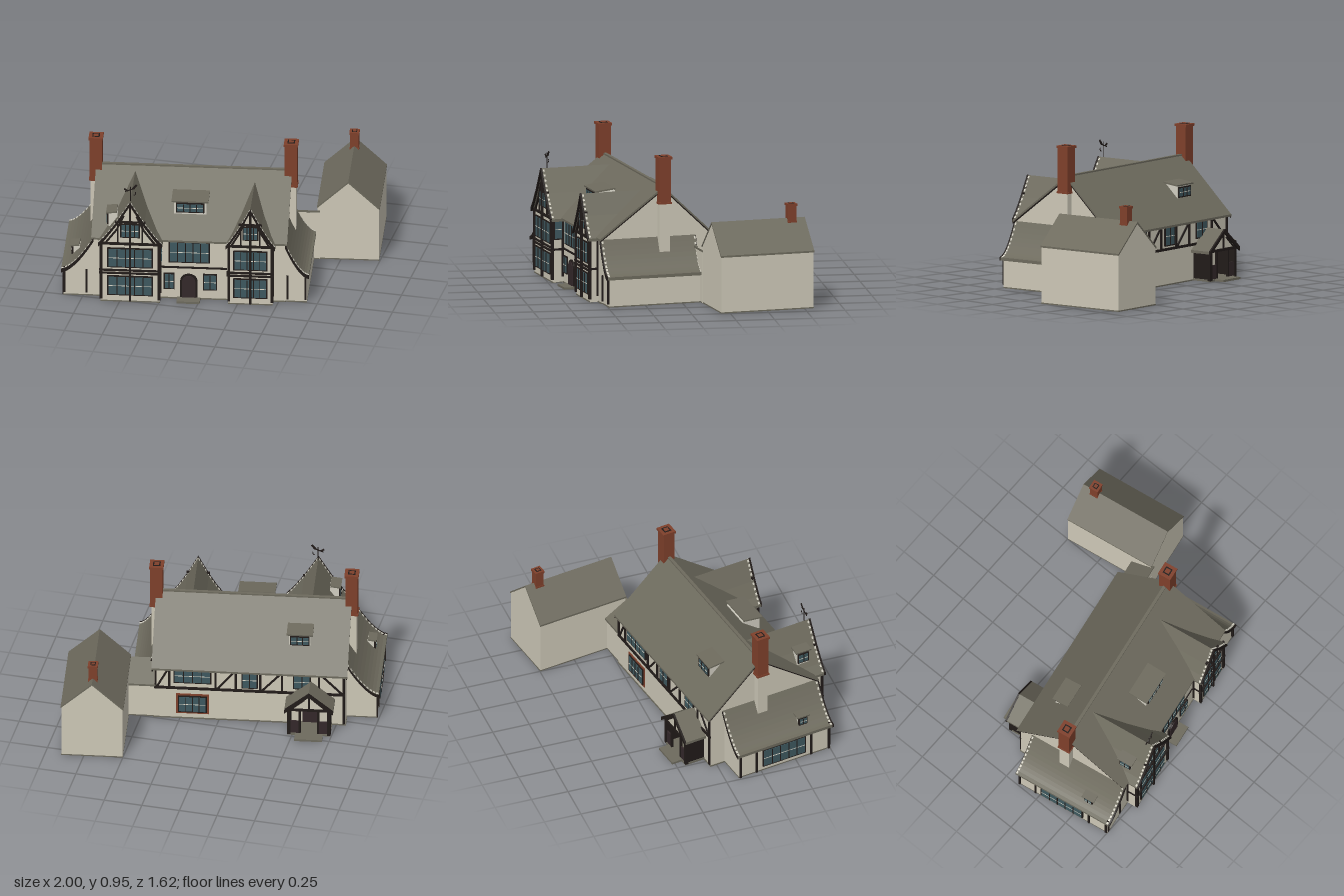
import * as THREE from 'three';

const mat = (name, color) => new THREE.MeshStandardMaterial({ name, color });

export function createModel() {
  const wall = mat('plaster', 0xcdc8b7), roof = mat('roofTiles', 0x6d6a5d), timber = mat('timber', 0x211b19);
  const brick = mat('brick', 0x7f402b), glass = mat('glass', 0x3e585f), pale = mat('paleTrim', 0xd2cfc2);
  const oak = mat('doorOak', 0x33282a);
  const model = new THREE.Group();
  model.name = 'timberedHouse';
  const house = new THREE.Group();
  house.name = 'house';
  house.rotation.y = 0.161;
  model.add(house);

  // ---- helpers ----
  const add = (name, geo, m, parent = house) => {
    const mesh = new THREE.Mesh(geo, m);
    mesh.name = name;
    parent.add(mesh);
    return mesh;
  };
  const box = (name, m, w, h, d, x, y, z, parent = house) => {
    const b = add(name, new THREE.BoxGeometry(w, h, d), m, parent);
    b.position.set(x, y, z);
    return b;
  };
  // slanted timber lying in an x-y plane
  const beam = (name, x1, y1, x2, y2, z, w = 0.014, d = 0.014, parent = house) => {
    const b = box(name, timber, Math.hypot(x2 - x1, y2 - y1), w, d, (x1 + x2) / 2, (y1 + y2) / 2, z, parent);
    b.rotation.z = Math.atan2(y2 - y1, x2 - x1);
    return b;
  };
  // extruded profile: (x, y) along z, or (z, y) along x
  const solid = (name, m, pts, a, b, alongX = false) => {
    const shape = new THREE.Shape(pts.map(([u, v]) => new THREE.Vector2(alongX ? -u : u, v)));
    const geo = new THREE.ExtrudeGeometry(shape, { depth: b - a, bevelEnabled: false });
    if (alongX) geo.rotateY(Math.PI / 2).translate(a, 0, 0);
    else geo.translate(0, 0, a);
    return add(name, geo, m);
  };
  const strip = (pts, t, drop = 0) => [
    ...pts.map(([u, v]) => [u, v - drop]),
    ...[...pts].reverse().map(([u, v]) => [u, v - t - drop])];
  // pale mortar tabs along a verge
  const tabs = (line, z) => {
    for (let i = 1; i < line.length; i++) {
      const [x1, y1] = line[i - 1], [x2, y2] = line[i];
      const n = Math.max(1, Math.round(Math.hypot(x2 - x1, y2 - y1) / 0.032));
      for (let k = 0; k < n; k++) {
        const t = (k + 0.5) / n;
        box('vergeTab', pale, 0.016, 0.006, 0.012, x1 + (x2 - x1) * t, y1 + (y2 - y1) * t, z)
          .rotation.z = Math.atan2(y2 - y1, x2 - x1);
      }
    }
  };
  // framed window; its face looks along +z before turning
  const windowAt = (name, x, y, z, w, h, cols, turn = 0) => {
    const g = new THREE.Group();
    g.name = name;
    g.position.set(x, y, z);
    g.rotation.y = turn;
    house.add(g);
    box('frame', timber, w + 0.016, h + 0.016, 0.012, 0, 0, 0.002, g);
    box('pane', glass, w, h, 0.004, 0, 0, 0.009, g);
    box('glazingBar', pale, w, 0.004, 0.004, 0, 0, 0.011, g);
    for (let i = 1; i < cols; i++) box('mullion', timber, 0.006, h, 0.006, -w / 2 + w * i / cols, 0, 0.011, g);
    return g;
  };

  // ---- main body and roof ----
  const L = -0.805, R = 0.465;
  solid('mainWalls', wall, [[-0.17, 0], [0.6, 0], [0.6, 0.418], [0.186, 0.735], [-0.17, 0.395]], L + 0.015, R - 0.015, true);
  const mainLine = [[-0.193, 0.39], [0.186, 0.75], [0.618, 0.426]];
  solid('mainRoof', roof, strip(mainLine, 0.014), L, R, true);
  for (const x of [L + 0.001, R - 0.009]) solid('verge', timber, strip(mainLine, 0.01, 0.013), x, x + 0.008, true);
  box('ridgeCap', roof, R - L, 0.01, 0.02, (L + R) / 2, 0.75, 0.186);
  box('mainFloor', roof, R - L - 0.02, 0.008, 0.78, (L + R) / 2, 0.003, 0.215);

  // ---- swept side wings ----
  const wing = (name, x0, x1, yLow, z0, z1, p) => {
    const s = Math.sign(x1 - x0), n = 10, line = [];
    for (let i = 0; i <= n; i++) {
      const t = i / n;
      line.push([x0 + (x1 - x0) * t, yLow + (0.42 - yLow) * (1 - t) ** p]);
    }
    solid(name + 'Roof', roof, strip(line, 0.02), z0, z1);
    const inner = line.map(([x, y]) => [x - s * 0.014, y - 0.012]);
    solid(name + 'Walls', wall, [[inner[0][0], 0], ...inner, [inner[n][0], 0]], z0 + 0.014, z1 - 0.015);
    solid(name + 'Bargeboard', timber, strip(line, 0.024, -0.002), z1 - 0.003, z1 + 0.006);
    solid(name + 'BackBargeboard', timber, strip(line, 0.02, 0.003), z0 - 0.003, z0 + 0.005);
    tabs(line, z1 - 0.012);
    tabs(line, z0 + 0.007);
    box(name + 'Floor', roof, Math.abs(x1 - x0) - 0.012, 0.008, z1 - z0 - 0.026, (x0 + x1 - s * 0.014) / 2, 0.003, (z0 + z1) / 2);
  };
  wing('leftWing', -0.79, -1.0, 0.19, -0.083, 0.616, 1.6);
  wing('rightWing', 0.45, 0.605, 0.2, -0.035, 0.61, 1.7);
  for (const [x, h] of [[-0.978, 0.18], [-0.835, 0.17], [0.467, 0.17], [0.583, 0.18]])
    box('wingPost', timber, 0.013, h, 0.014, x, 0.02 + h / 2, 0.6);
  windowAt('wingSideWindow', -0.987, 0.1, 0.26, 0.3, 0.12, 5, -Math.PI / 2);
  for (const z of [-0.06, 0.06, 0.46, 0.59]) box('wingSidePost', timber, 0.014, 0.18, 0.014, -0.986, 0.09, z);
  box('wingSideBeam', timber, 0.012, 0.012, 0.66, -0.986, 0.175, 0.265);

  // ---- front gabled bays ----
  const bay = (name, cx, half, peak, zBack, zFace, winW) => {
    const prof = [[0, 0], [0.44, 0.5], [0.78, 0.83], [1, 1]].map(([a, b]) => [a * half, peak - (peak - 0.42) * b]);
    const line = [...prof.slice(1).reverse().map(([x, y]) => [cx - x, y]), ...prof.map(([x, y]) => [cx + x, y])];
    const w = half - 0.016, f = zFace + 0.004;
    solid(name + 'Roof', roof, strip(line, 0.018), zBack, zFace + 0.02);
    solid(name + 'Walls', wall, [[cx - w, 0], [cx + w, 0], [cx + w, 0.41],
      ...line.slice(1, -1).reverse().map(([x, y]) => [x, y - 0.012]), [cx - w, 0.41]], 0.45, zFace);
    solid(name + 'Bargeboard', timber, strip(line, 0.022, -0.003), zFace + 0.012, zFace + 0.024);
    tabs(line, zFace + 0.004);
    box(name + 'Floor', roof, 2 * w, 0.008, 0.1, cx, 0.003, zFace - 0.047);
    for (const y of [0.207, 0.228, 0.42]) box('bayBand', timber, 2 * w + 0.02, y === 0.42 ? 0.014 : 0.01, 0.018, cx, y, f);
    for (const s of [-1, 1]) {
      box('cornerPost', timber, 0.018, 0.4, 0.018, cx + s * (w - 0.004), 0.22, f - 0.002);
      box('sidePost', timber, 0.012, 0.38, 0.014, cx + s * w, 0.23, 0.606);
      box('sideBand', timber, 0.012, 0.014, zFace - 0.6, cx + s * w, 0.218, (zFace + 0.6) / 2);
      beam('gableStrut', cx + s * half * 0.76, 0.425, cx + s * half * 0.42, 0.52, f, 0.011);
      beam('gableUpperStrut', cx + s * half * 0.42, 0.52, cx + s * half * 0.2, 0.62, f, 0.011);
      box('atticPost', timber, 0.009, 0.14, 0.012, cx + s * half * 0.38, 0.495, f);
    }
    box('collarBeam', timber, half * 0.95, 0.011, 0.014, cx, 0.577, f);
    windowAt('lowerBayWindow', cx, 0.117, zFace, winW, 0.125, 5);
    windowAt('upperBayWindow', cx, 0.318, zFace, winW, 0.125, 5);
    windowAt('atticWindow', cx, 0.515, zFace, half * 0.54, 0.085, 4);
    box('centrePost', timber, 0.013, peak - 0.02, 0.016, cx, peak / 2, zFace + 0.012);
  };
  bay('leftBay', -0.548, 0.208, 0.72, 0.225, 0.672, 0.28);
  bay('rightBay', 0.23, 0.16, 0.69, 0.262, 0.655, 0.205);
  windowAt('baySideWindow', -0.356, 0.35, 0.637, 0.045, 0.12, 1, Math.PI / 2);

  // ---- front middle wall: door, windows, bands ----
  for (const y of [0.225, 0.414]) box('frontBand', timber, 0.44, 0.012, 0.012, -0.145, y, 0.6);
  windowAt('middleWindow', -0.17, 0.338, 0.602, 0.25, 0.136, 5);
  windowAt('smallWindowA', -0.3, 0.125, 0.6, 0.055, 0.1, 2);
  windowAt('smallWindowB', -0.035, 0.125, 0.6, 0.075, 0.1, 2);
  const arch = (r, h) => {
    const pts = [[-0.173 - r, 0], [-0.173 + r, 0]];
    for (let i = 0; i <= 10; i++) pts.push([-0.173 + r * Math.cos(Math.PI * i / 10), h + r * 0.9 * Math.sin(Math.PI * i / 10)]);
    return pts;
  };
  solid('doorFrame', timber, arch(0.056, 0.13), 0.598, 0.61);
  solid('door', oak, arch(0.043, 0.13), 0.609, 0.615);
  box('frontStep', roof, 0.15, 0.014, 0.07, -0.173, 0.007, 0.642);

  // ---- back wall timbering ----
  for (const y of [0.235, 0.388]) box('backBand', timber, 1.24, 0.016, 0.016, -0.17, y, -0.172);
  for (const x of [0.44, 0.35, 0.05, -0.08, -0.24, -0.38, -0.62, -0.78])
    box('backPost', timber, 0.014, 0.15, 0.016, x, 0.312, -0.172);
  box('backCornerPost', timber, 0.014, 0.22, 0.016, -0.78, 0.12, -0.172);
  for (const [x1, x2] of [[0.43, 0.36], [0.04, -0.07], [-0.25, -0.37], [-0.77, -0.64]])
    beam('backBrace', x1, 0.24, x2, 0.375, -0.171, 0.012);
  windowAt('backUpperWindowA', 0.2, 0.333, -0.17, 0.23, 0.1, 4, Math.PI);
  windowAt('backUpperWindowB', -0.17, 0.32, -0.17, 0.09, 0.115, 2, Math.PI);
  windowAt('backUpperWindowC', -0.51, 0.325, -0.17, 0.1, 0.1, 2, Math.PI);
  box('brickSurround', brick, 0.215, 0.15, 0.012, 0.2, 0.115, -0.17);
  windowAt('backLowerWindow', 0.2, 0.115, -0.174, 0.17, 0.11, 4, Math.PI);

  // ---- back porch ----
  const px = -0.565, porchLine = [[px - 0.158, 0.2], [px, 0.33], [px + 0.158, 0.2]];
  solid('porchRoof', roof, strip(porchLine, 0.018), -0.32, -0.16);
  solid('porchBargeboard', timber, strip(porchLine, 0.028, -0.002), -0.326, -0.314);
  solid('porchGable', wall, [[px - 0.13, 0.2], [px + 0.13, 0.2], [px, 0.315]], -0.308, -0.298);
  box('porchTie', timber, 0.28, 0.018, 0.018, px, 0.197, -0.305);
  box('porchKingPost', timber, 0.012, 0.11, 0.014, px, 0.255, -0.307);
  for (const s of [-1, 1]) {
    box('porchPost', timber, 0.022, 0.19, 0.022, px + s * 0.13, 0.1, -0.3);
    box('porchInnerPost', timber, 0.014, 0.19, 0.014, px + s * 0.06, 0.1, -0.3);
    box('porchSideWall', timber, 0.012, 0.185, 0.13, px + s * 0.13, 0.1, -0.235);
    box('porchFrontPanel', oak, 0.07, 0.1, 0.01, px + s * 0.095, 0.055, -0.3);
    beam('porchBrace', px + s * 0.11, 0.205, px + s * 0.03, 0.275, -0.307, 0.01);
  }
  box('porchFloor', roof, 0.28, 0.014, 0.14, px, 0.007, -0.24);
  box('backDoor', oak, 0.1, 0.17, 0.008, px, 0.095, -0.173);
  box('backStep', roof, 0.18, 0.014, 0.07, px, 0.007, -0.345);

  // ---- shed dormers ----
  const dormer = (name, x, y, z, turn, w, h, d, cols) => {
    const g = new THREE.Group();
    g.name = name;
    g.position.set(x, y, z);
    g.rotation.y = turn;
    house.add(g);
    box('dormerWalls', pale, w, h, d, 0, h / 2, -d / 2, g);
    box('dormerRoof', roof, w + 0.03, 0.01, d + 0.012, 0, h + 0.006, -d / 2 + 0.008, g).rotation.x = 0.12;
    g.add(windowAt('dormerWindow', 0, h * 0.5, 0, w * 0.8, h * 0.56, cols));
  };
  dormer('frontDormer', -0.175, 0.545, 0.468, 0, 0.21, 0.095, 0.125, 4);
  dormer('backDormer', -0.486, 0.515, -0.05, Math.PI, 0.14, 0.095, 0.105, 3);
  dormer('wingDormer', -0.935, 0.215, 0.428, -Math.PI / 2, 0.06, 0.07, 0.045, 2);
  dormer('bayDormer', -0.695, 0.505, 0.56, -Math.PI / 2, 0.08, 0.1, 0.058, 2);

  // ---- chimneys ----
  const chimney = (name, x, z, w, y0, y1) => {
    box(name + 'Shaft', brick, w, y1 - y0, w, x, (y0 + y1) / 2, z);
    box(name + 'Base', brick, w * 1.1, 0.012, w * 1.1, x, y0 + 0.006, z);
    box(name + 'Cap', brick, w * 1.15, 0.016, w * 1.15, x, y1 - 0.008, z);
    box(name + 'Flue', timber, w * 0.6, 0.004, w * 0.6, x, y1, z);
    box(name + 'Pot', brick, w * 0.4, 0.006, w * 0.4, x, y1, z);
  };
  for (const x of [-0.805, 0.46]) {
    chimney('endChimney', x, 0.186, 0.08, 0.64, 0.95);
    box('chimneyStack', wall, 0.066, 0.32, 0.072, x, 0.485, 0.186);
  }

  // ---- annex and link ----
  const annexLine = [[0.61, 0.378], [0.813, 0.565], [1.016, 0.378]];
  solid('annexRoof', roof, strip(annexLine, 0.012), -0.66, -0.026);
  solid('annexWalls', wall, [[0.614, 0], [1.012, 0], [1.012, 0.372], [0.813, 0.557], [0.614, 0.372]], -0.656, -0.03);
  box('annexFloor', roof, 0.4, 0.008, 0.628, 0.813, 0.003, -0.343);
  chimney('annexChimney', 0.813, -0.567, 0.056, 0.535, 0.66);
  solid('linkWalls', wall, [[-0.165, 0], [-0.025, 0], [-0.025, 0.335], [-0.165, 0.25]], 0.44, 0.63, true);
  solid('linkRoof', roof, strip([[-0.18, 0.255], [-0.015, 0.355]], 0.014), 0.44, 0.63, true);
  box('linkFloor', roof, 0.19, 0.008, 0.142, 0.53, 0.003, -0.095);

  // ---- weathervane ----
  const vane = new THREE.Group();
  vane.name = 'weathervane';
  vane.position.set(-0.548, 0.72, 0.65);
  house.add(vane);
  add('vaneRod', new THREE.CylinderGeometry(0.003, 0.003, 0.1, 6), timber, vane).position.y = 0.05;
  beam('vaneArm', -0.035, 0.065, 0.03, 0.09, 0, 0.006, 0.005, vane);
  beam('vaneTail', 0.015, 0.085, 0.04, 0.115, 0, 0.012, 0.005, vane);
  beam('vaneHead', -0.04, 0.085, -0.018, 0.07, 0, 0.01, 0.005, vane);
  const curl = add('vaneCurl', new THREE.TorusGeometry(0.014, 0.003, 5, 10, 2.2), timber, vane);
  curl.position.set(0.02, 0.055, 0);
  curl.rotation.z = 4.8;
  return model;
}
